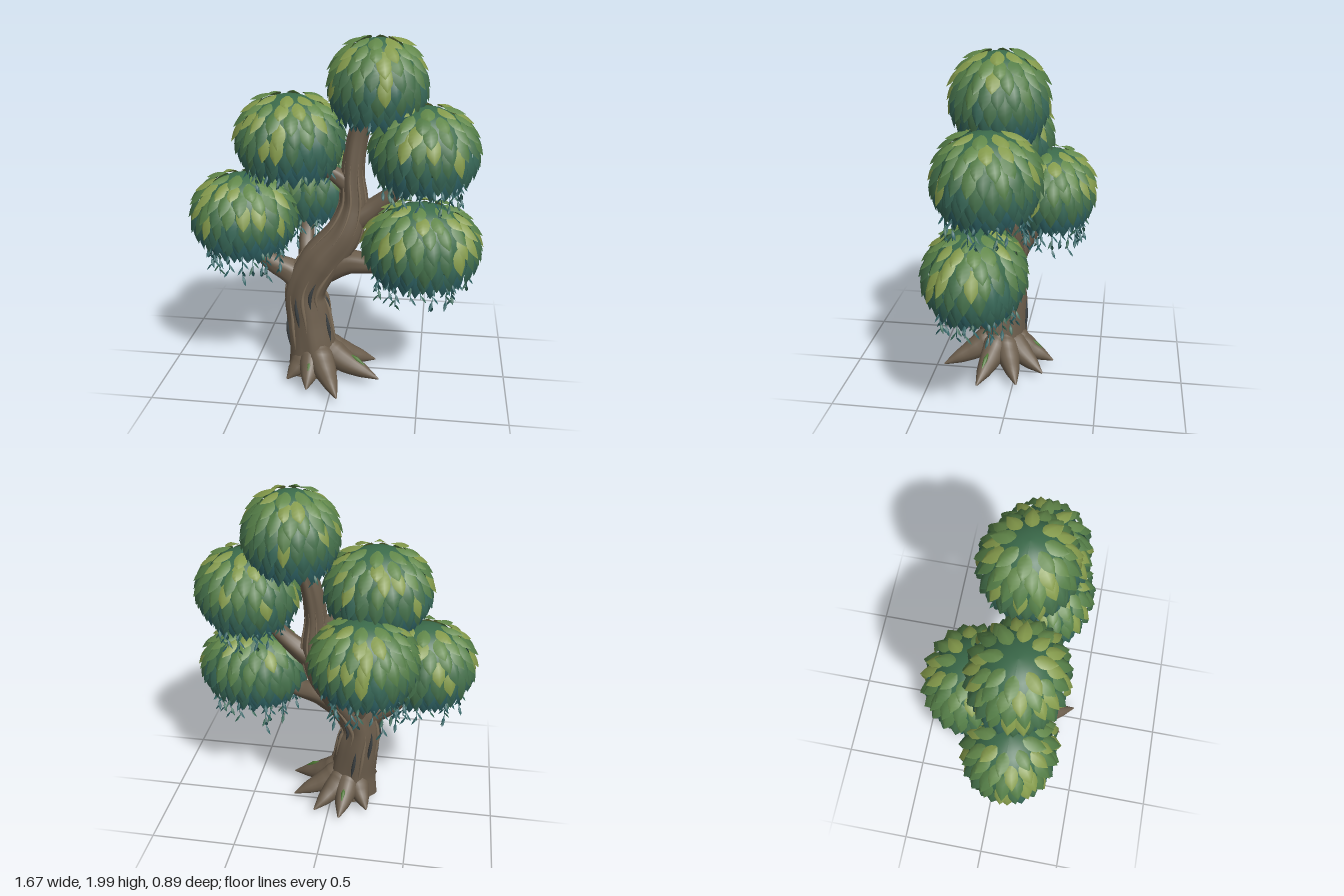
import * as THREE from 'three';
import { mergeGeometries } from 'three/addons/utils/BufferGeometryUtils.js';

const V = (x, y, z) => new THREE.Vector3(x, y, z);
const mat = (color, side = THREE.FrontSide) => new THREE.MeshStandardMaterial({ color, side });

let seed = 7;
const rnd = () => {
  seed = (seed * 16807) % 2147483647;
  return seed / 2147483647;
};

const bark = mat(0x6b5d4c);
const paleBark = mat(0x7d6d59);
const darkBark = mat(0x3b4042);
const moss = mat(0x4f7a35);
const core = mat(0x3b6a4a);
// Leaf colours from sunlit crown to teal hem
const leafMats = [0x849a4b, 0x62884a, 0x537c46, 0x446f4a, 0x386858, 0x2f6264].map(c => mat(c, THREE.DoubleSide));

function named(name, geometry, material) {
  const m = new THREE.Mesh(geometry, material);
  m.name = name;
  return m;
}

// Tapered limb along a curve; stations are [x, y, z, radius]
function limb(stations, steps = 20, sides = 14, ridge = 0.04, lobes = 5) {
  const curve = new THREE.CatmullRomCurve3(stations.map(s => V(s[0], s[1], s[2])));
  const frames = curve.computeFrenetFrames(steps, false);
  const n = stations.length - 1;
  const at = (i, a) => {
    const t = i / steps, s = Math.min(Math.floor(t * n), n - 1);
    const r = THREE.MathUtils.lerp(stations[s][3], stations[s + 1][3], t * n - s)
      * (1 + ridge * Math.sin(lobes * a + t * 5) + ridge * 0.5 * Math.sin((lobes + 4) * a - t * 4));
    return curve.getPoint(t)
      .addScaledVector(frames.normals[i], r * Math.cos(a))
      .addScaledVector(frames.binormals[i], r * Math.sin(a));
  };
  const pos = [], idx = [];
  for (let i = 0; i <= steps; i++) {
    for (let j = 0; j < sides; j++) {
      pos.push(...at(i, (j / sides) * Math.PI * 2).toArray());
      if (i === steps) continue;
      const a = i * sides + j, b = i * sides + (j + 1) % sides;
      idx.push(a, b, a + sides, b, b + sides, a + sides);
    }
  }
  const geometry = new THREE.BufferGeometry();
  geometry.setAttribute('position', new THREE.Float32BufferAttribute(pos, 3));
  geometry.setIndex(idx);
  geometry.computeVertexNormals();
  return { geometry, at };
}

// Thin sliver of bark lying along a limb, from step i0 to step i1
function sliver(l, i0, i1, angle, r) {
  const s = [];
  for (let i = i0; i <= i1; i++) {
    const p = l.at(i, angle);
    s.push([p.x, p.y, p.z, Math.max(0.001, r * Math.sin(Math.PI * (i - i0) / (i1 - i0)))]);
  }
  return limb(s, 2 * (i1 - i0), 6, 0).geometry;
}

// Unit leaf: hangs down -y, faces +z, ridged, pointed and curling out at the tip
function makeLeaf(rows) {
  const g = new THREE.PlaneGeometry(1, 1, 2, rows);
  const p = g.attributes.position;
  for (let i = 0; i < p.count; i++) {
    const t = 0.5 - p.getY(i), u = p.getX(i);
    const w = 0.2 * (1 - t) + Math.sin(Math.PI * Math.pow(t, 0.9));
    p.setXYZ(i, u * Math.min(w, 1), -t, 0.16 * (1 - Math.abs(2 * u)) * Math.sin(Math.PI * t) + 0.24 * t * t);
  }
  g.computeVertexNormals();
  return g;
}
const leafShape = makeLeaf(6), leafletShape = makeLeaf(3);

function placeLeaf(shape, p, down, out, width, length) {
  const y = down.clone().negate().normalize();
  const x = y.clone().cross(out).normalize();
  const z = x.clone().cross(y);
  const m = new THREE.Matrix4().makeBasis(x.multiplyScalar(width), y.multiplyScalar(length), z.multiplyScalar(length));
  return shape.clone().applyMatrix4(m.setPosition(p));
}

// Domed foliage clump: core, overlapping leaf rings, hanging strands
function clump(name, x, top, z, rx, rz, strands, drop) {
  const g = new THREE.Group();
  g.name = name;
  const up = 0.25, low = 0.21, cy = top - up - 0.012;
  const dome = new THREE.SphereGeometry(1, 32, 20);
  const dp = dome.attributes.position;
  for (let i = 0; i < dp.count; i++) {
    const y = dp.getY(i);
    dp.setXYZ(i, dp.getX(i) * rx * 0.98, y * (y > 0 ? up : 0.17), dp.getZ(i) * rz * 0.98);
  }
  dome.computeVertexNormals();
  const domeMesh = named('foliageCore', dome, core);
  domeMesh.position.set(x, cy, z);
  g.add(domeMesh);

  const bins = leafMats.map(() => []);
  const rings = [[32, 8], [47, 14], [61, 18], [76, 21], [91, 23], [106, 23], [121, 21], [135, 17]];
  rings.forEach(([deg, count], ring) => {
    const phi = THREE.MathUtils.degToRad(deg);
    const s = Math.sin(phi), c = Math.cos(phi);
    for (let k = 0; k < count; k++) {
      const a = ((k + (ring % 2) * 0.5 + (rnd() - 0.5) * 0.25) / count) * Math.PI * 2;
      const ca = Math.cos(a), sa = Math.sin(a);
      const flat = Math.max(c, -0.3);
      const down = V(rx * flat * ca, -up * Math.max(s, 0.3), rz * flat * sa).normalize();
      const out = V(ca * s / rx, Math.max(c, -0.3) / up, sa * s / rz).normalize();
      const length = (ring < 2 ? 0.125 : 0.145) * (0.9 + rnd() * 0.2);
      const p = V(x + rx * s * ca, cy + (c > 0 ? up : low) * c, z + rz * s * sa)
        .addScaledVector(down, -length * 0.5).addScaledVector(out, 0.005);
      const shade = ring < 5 && rnd() < 0.35 - ring * 0.06 ? 0
        : Math.min(5, Math.max(1, Math.round(0.6 + ring * 0.65 + (rnd() - 0.5) * 0.9)));
      bins[shade].push(placeLeaf(leafShape, p, down, out, 0.068 + 0.01 * rnd(), length));
    }
  });

  // Hanging strands with alternating leaflets
  const stems = [];
  for (let k = 0; k < strands; k++) {
    const a = ((k + rnd() * 0.7) / strands) * Math.PI * 2;
    const f = 0.66 + 0.26 * rnd(), len = drop * (0.45 + 0.55 * rnd());
    const start = V(x + rx * f * Math.cos(a), cy - 0.13, z + rz * f * Math.sin(a));
    stems.push(new THREE.CylinderGeometry(0.002, 0.002, len, 4).translate(start.x, start.y - len / 2, start.z));
    for (let d = 0.03, i = 0; d < len; d += 0.03, i++) {
      const b = a + i * 2.4;
      const side = V(Math.cos(b), 0, Math.sin(b));
      bins[rnd() < 0.3 ? 4 : 5].push(placeLeaf(leafletShape, start.clone().setY(start.y - d),
        V(side.x * 0.4, -1, side.z * 0.4), side, 0.018, 0.058));
    }
  }
  bins.forEach((list, i) => list.length && g.add(named('leaves' + (i + 1), mergeGeometries(list), leafMats[i])));
  g.add(named('strandStems', mergeGeometries(stems), leafMats[5]));
  return g;
}

export function createModel() {
  const tree = new THREE.Group();
  tree.name = 'tree';

  // Trunk leaning into the crown
  const trunk = limb([
    [-0.12, 0.05, 0.1, 0.155], [-0.13, 0.2, 0.1, 0.138], [-0.155, 0.38, 0.09, 0.128], [-0.17, 0.55, 0.09, 0.118],
    [-0.08, 0.73, 0.08, 0.125], [0.05, 0.9, 0.07, 0.105], [0.1, 1.06, 0.06, 0.078], [0.095, 1.25, 0.06, 0.062],
    [0.12, 1.45, 0.05, 0.055], [0.17, 1.6, 0.05, 0.05], [0.22, 1.75, 0.05, 0.03],
  ], 60, 36, 0.045, 6);
  tree.add(named('trunk', trunk.geometry, bark));

  const pale = [], dark = [];
  for (let k = 0; k < 9; k++) {
    const a = k * 0.7, i = 7 + 4 * (k % 3);
    dark.push(sliver(trunk, i, i + 6, a, 0.012));
    pale.push(sliver(trunk, i - 1, i + 10, a + 0.35, 0.012));
    pale.push(sliver(trunk, 25 + 3 * (k % 3), 44, a + 0.2, 0.009));
  }
  tree.add(named('barkGrooves', mergeGeometries(dark), darkBark), named('barkRidges', mergeGeometries(pale), paleBark));

  // Branches reaching into each clump
  const branches = {
    lowerRightBranch: [[-0.14, 0.55, 0.09, 0.095], [-0.26, 0.65, 0.09, 0.072], [-0.39, 0.735, 0.1, 0.052], [-0.5, 0.95, 0.1, 0.035]],
    backBranch: [[-0.13, 0.58, 0.07, 0.07], [-0.18, 0.75, -0.01, 0.05], [-0.19, 0.88, -0.08, 0.04], [-0.21, 1.1, -0.16, 0.03]],
    lowerLeftBranch: [[-0.08, 0.67, 0.08, 0.09], [0.08, 0.73, 0.1, 0.07], [0.24, 0.745, 0.13, 0.05], [0.46, 0.87, 0.15, 0.035]],
    upperLeftBranch: [[0.08, 0.96, 0.07, 0.075], [0.22, 1.06, 0.07, 0.055], [0.33, 1.16, 0.08, 0.045], [0.46, 1.36, 0.08, 0.03]],
    upperRightBranch: [[0.1, 1.15, 0.06, 0.05], [0.01, 1.23, 0.07, 0.045], [-0.08, 1.29, 0.08, 0.035], [-0.22, 1.44, 0.09, 0.025]],
  };
  for (const [name, s] of Object.entries(branches)) tree.add(named(name, limb(s, 20, 18, 0.05).geometry, bark));

  // Roots flowing out of the base, some with moss on top
  const tips = [[0.055, 0.44], [0.27, 0.2], [0.23, -0.03], [0.08, -0.17], [-0.08, -0.22], [-0.24, -0.12],
    [-0.28, 0.08], [-0.26, 0.27], [-0.13, 0.37]];
  const mossBits = [];
  tips.forEach(([tx, tz], i) => {
    const station = (f, y, r) => [-0.12 + (tx + 0.12) * f, y, 0.1 + (tz - 0.1) * f, r];
    const root = limb([station(0.1, 0.24, 0.05), station(0.28, 0.165, 0.078), station(0.5, 0.115, 0.066),
      station(0.76, 0.078, 0.04), station(1, 0.045, 0.004)], 16, 14, 0.03);
    tree.add(named('root' + (i + 1), root.geometry, bark));
    if (i % 3 === 1 || i === 8) {
      mossBits.push(limb([station(0.52, 0.175, 0.002), station(0.66, 0.148, 0.013), station(0.84, 0.095, 0.002)], 8, 6, 0).geometry);
    }
  });
  tree.add(named('moss', mergeGeometries(mossBits), moss));

  // Rounded underside of the base
  const base = named('rootBase', new THREE.SphereGeometry(1, 20, 12), bark);
  base.scale.set(0.14, 0.06, 0.13);
  base.position.set(-0.135, 0.06, 0.1);
  tree.add(base);

  // Foliage: x, top, z, radii, strands, strand drop
  tree.add(
    clump('crownFoliage', 0.225, 2.0, 0.055, 0.232, 0.225, 10, 0.1),
    clump('upperRightFoliage', -0.25, 1.7, 0.09, 0.268, 0.24, 14, 0.14),
    clump('upperLeftFoliage', 0.485, 1.65, 0.08, 0.262, 0.245, 20, 0.18),
    clump('lowerRightFoliage', -0.52, 1.25, 0.1, 0.268, 0.235, 22, 0.21),
    clump('lowerLeftFoliage', 0.488, 1.13, 0.15, 0.29, 0.24, 22, 0.19),
    clump('backFoliage', -0.21, 1.38, -0.17, 0.268, 0.235, 22, 0.22),
  );
  return tree;
}
